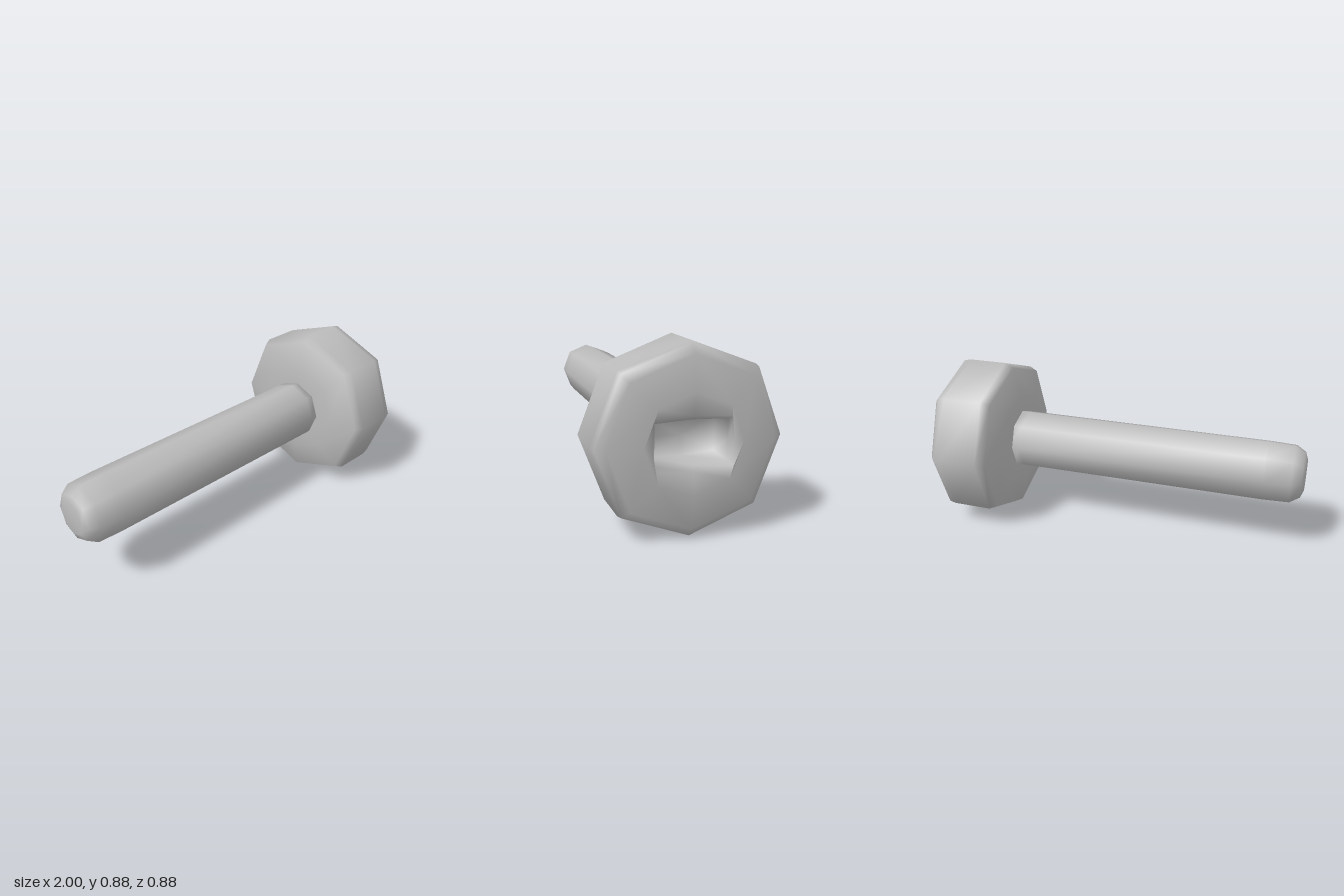
import * as THREE from 'three';

const SIDES = 8;
const AXIS_Y = 0.444;

// Eight-sided ring: corners on the diagonals sit slightly further out.
function octagon(x, r, bulge = 1.02) {
  return Array.from({ length: SIDES }, (_, i) => {
    const a = (i / SIDES) * Math.PI * 2;
    const k = i % 2 ? r * bulge : r;
    return [x, Math.cos(a) * k, Math.sin(a) * k];
  });
}

// Ring on a rectangle, with corners on the diagonals and slightly bowed long sides.
function rectangle(x, halfY, halfZ) {
  return Array.from({ length: SIDES }, (_, i) => {
    const a = (i / SIDES) * Math.PI * 2;
    const y = Math.round(Math.cos(a)) * halfY;
    const z = Math.round(Math.sin(a)) * halfZ;
    return [x, i % 4 === 0 ? y * 1.08 : y, z];
  });
}

// Skin a row of rings into one smooth surface, closing both ends at a centre point.
function loft(rings) {
  const positions = rings.flat(2);
  const index = [];
  for (let r = 0; r < rings.length - 1; r++) {
    for (let i = 0; i < SIDES; i++) {
      const j = (i + 1) % SIDES;
      const a = r * SIDES + i, b = r * SIDES + j;
      const c = a + SIDES, d = b + SIDES;
      index.push(a, b, c, b, d, c);
    }
  }
  const start = positions.length / 3, end = start + 1;
  const last = (rings.length - 1) * SIDES;
  positions.push(rings[0][0][0], 0, 0, rings[rings.length - 1][0][0], 0, 0);
  for (let i = 0; i < SIDES; i++) {
    const j = (i + 1) % SIDES;
    index.push(start, j, i, end, last + i, last + j);
  }
  const geometry = new THREE.BufferGeometry();
  geometry.setAttribute('position', new THREE.Float32BufferAttribute(positions, 3));
  geometry.setIndex(index);
  geometry.computeVertexNormals();
  return geometry;
}

export function createModel() {
  const group = new THREE.Group();
  group.name = 'bolt';
  const steel = new THREE.MeshStandardMaterial({ color: 0xbbbbbb });
  steel.name = 'steel';

  const addPart = (name, rings) => {
    const mesh = new THREE.Mesh(loft(rings), steel);
    mesh.name = name;
    mesh.position.y = AXIS_Y;
    group.add(mesh);
  };

  // Shaft with a rounded tip, running into the head
  addPart('shaft', [
    [-1, 0.085], [-0.985, 0.125], [-0.935, 0.157], [-0.8, 0.162], [0.56, 0.162], [0.63, 0.162],
  ].map(([x, r]) => octagon(x, r)));

  // Head with bevelled rims and a rectangular socket in its end
  addPart('head', [
    ...[
      [0.603, 0.14], [0.605, 0.26], [0.642, 0.418], [0.69, 0.442],
      [0.905, 0.442], [0.945, 0.434], [0.978, 0.39], [0.998, 0.23],
    ].map(([x, r]) => octagon(x, r, 1.025)),
    rectangle(0.985, 0.115, 0.19),
    rectangle(0.955, 0.095, 0.17),
    rectangle(0.82, 0.09, 0.165),
  ]);

  return group;
}
